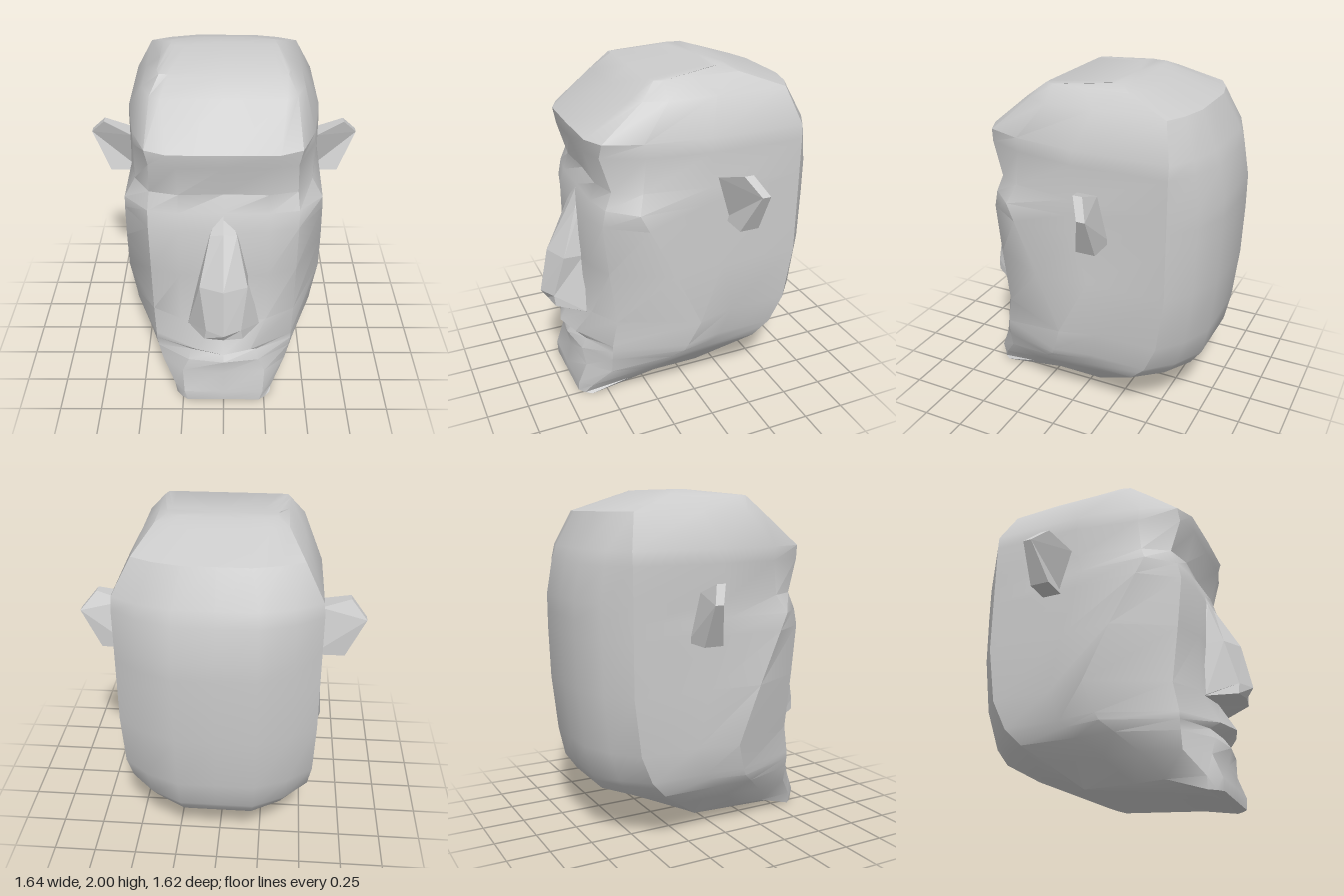
import * as THREE from 'three';
import { mergeVertices, toCreasedNormals } from 'three/addons/utils/BufferGeometryUtils.js';

// Front half-sections, bottom to top: y, centre z, then x,z of front, cheek and temple points
const FACE = [
  [0, .67, .22, .67, .26, .64, .29, .60],
  [.07, .675, .24, .67, .30, .60, .32, .38],
  [.20, .64, .25, .62, .38, .50, .43, .28],
  [.30, .66, .21, .63, .40, .50, .51, .17],
  [.36, .62, .20, .60, .41, .50, .56, .10],
  [.40, .70, .16, .65, .41, .50, .57, .08],
  [.57, .60, .25, .57, .42, .47, .615, .02],
  [.90, .59, .25, .58, .42, .51, .595, .17],
  [1.20, .58, .25, .58, .42, .54, .57, .32],
  [1.30, .55, .25, .55, .42, .52, .56, .37],
  [1.40, .51, .25, .52, .41, .48, .50, .33],
  [1.60, .58, .25, .58, .40, .54, .50, .31],
  [1.68, .59, .30, .585, .42, .53, .50, .32],
  [1.88, .33, .34, .33, .40, .29, .45, .16],
  [1.97, .21, .30, .21, .35, .205, .365, .15],
  [2.0, -.13, .22, -.13, .28, -.14, .31, -.16],
];

// Back of the skull: y, side corner x,z and rearmost z
const SKULL = [
  [0, .20, .58, .57], [.07, .30, -.10, -.15], [.30, .50, -.40, -.66],
  [.43, .54, -.52, -.75], [.70, .56, -.61, -.78], [1.0, .56, -.61, -.81],
  [1.4, .56, -.61, -.81], [1.62, .56, -.61, -.77], [1.72, .55, -.61, -.73],
  [1.88, .45, -.55, -.645], [1.97, .36, -.30, -.38], [2.0, .30, -.24, -.28],
];

function skullAt(y) {
  let i = 0;
  while (i < SKULL.length - 2 && SKULL[i + 1][0] < y) i++;
  const a = SKULL[i], b = SKULL[i + 1];
  const t = (y - a[0]) / (b[0] - a[0]);
  return a.slice(1).map((v, k) => THREE.MathUtils.lerp(v, b[k + 1], t));
}

// Skin rows of [x, y, z] points, ordered from bottom to top
function loft(rows, closed) {
  const n = rows[0].length, index = [];
  for (let i = 0; i < rows.length - 1; i++) {
    for (let j = 0; j < (closed ? n : n - 1); j++) {
      const k = (j + 1) % n;
      const a = i * n + j, b = i * n + k, c = b + n, d = a + n;
      index.push(a, b, c, a, c, d);
    }
  }
  const geo = new THREE.BufferGeometry();
  geo.setAttribute('position', new THREE.Float32BufferAttribute(rows.flat(2), 3));
  geo.setIndex(index);
  return geo;
}

function headRow([y, c, x1, z1, x2, z2, x3, z3]) {
  const [x4, z4, b] = skullAt(y);
  const half = [
    [x1, z1], [x2, z2], [x3, z3],
    [x4, THREE.MathUtils.lerp(z3, z4, .4)], [x4, z4],
    [x4 * .74, b + (z4 - b) * .4], [x4 * .4, b],
  ];
  const mirrored = half.map(([x, z]) => [-x, z]).reverse();
  return [[0, c], ...half, [0, b], ...mirrored].map(([x, z]) => [x, y, z]);
}

function makeHead() {
  const rows = FACE.map(headRow);
  const cap = (y, z) => rows[0].map(() => [0, y, z]);
  const geo = mergeVertices(loft([cap(0, .62), ...rows, cap(2, -.2)], true));
  return toCreasedNormals(geo, .65);
}

// Nose sections: wing, edge and ridge points, mirrored across the middle
function makeNose() {
  const sections = [
    [[.21, .55, .57], [.08, .56, .58], [0, .57, .58]],
    [[.21, .55, .58], [.11, .575, .75], [0, .58, .77]],
    [[.21, .555, .59], [.10, .64, .755], [0, .64, .81]],
    [[.14, .90, .57], [.135, .90, .69], [0, .91, .755]],
    [[.08, 1.18, .56], [.075, 1.18, .59], [0, 1.19, .60]],
    [[0, 1.38, .50], [0, 1.38, .50], [0, 1.38, .51]],
  ];
  const rows = sections.map(s => [
    ...s.slice(0, 2).map(([x, y, z]) => [-x, y, z]), s[2], s[1], s[0],
  ]);
  const geo = loft(rows, false).toNonIndexed();
  geo.computeVertexNormals();
  return geo;
}

// Ear slab whose faces are bent by a rule on x and y
function makeEar(side) {
  const outline = [[.52, 1.175], [.71, 1.175], [.82, 1.41], [.73, 1.51], [.56, 1.45], [.52, 1.44]];
  const shape = new THREE.Shape(outline.map(([x, y]) => new THREE.Vector2(x, y)));
  const geo = new THREE.ExtrudeGeometry(shape, { depth: 1, bevelEnabled: false });
  const p = geo.attributes.position;
  for (let i = 0; i < p.count; i++) {
    const x = p.getX(i), y = p.getY(i);
    const front = x > .8 ? -.22 : (x < .6 && y > 1.4 ? -.09 : -.155);
    const back = y > 1.42 ? -.21 : -.27;
    p.setXYZ(i, x * side, y, p.getZ(i) > .5 ? front : back);
  }
  // Mirroring flips the winding, so swap two corners of each triangle
  if (side < 0) {
    const a = new THREE.Vector3(), b = new THREE.Vector3();
    for (let i = 0; i < p.count; i += 3) {
      a.fromBufferAttribute(p, i + 1);
      b.fromBufferAttribute(p, i + 2);
      p.setXYZ(i + 1, b.x, b.y, b.z);
      p.setXYZ(i + 2, a.x, a.y, a.z);
    }
  }
  geo.computeVertexNormals();
  return geo;
}

export function createModel() {
  const group = new THREE.Group();
  group.name = 'headBust';
  const smooth = new THREE.MeshStandardMaterial({ color: 0xcccccc });
  const flat = new THREE.MeshStandardMaterial({ color: 0xcccccc, flatShading: true });
  const add = (name, geo, mat) => {
    const mesh = new THREE.Mesh(geo, mat);
    mesh.name = name;
    group.add(mesh);
  };
  add('head', makeHead(), smooth);
  add('nose', makeNose(), flat);
  add('leftEar', makeEar(1), flat);
  add('rightEar', makeEar(-1), flat);
  return group;
}
